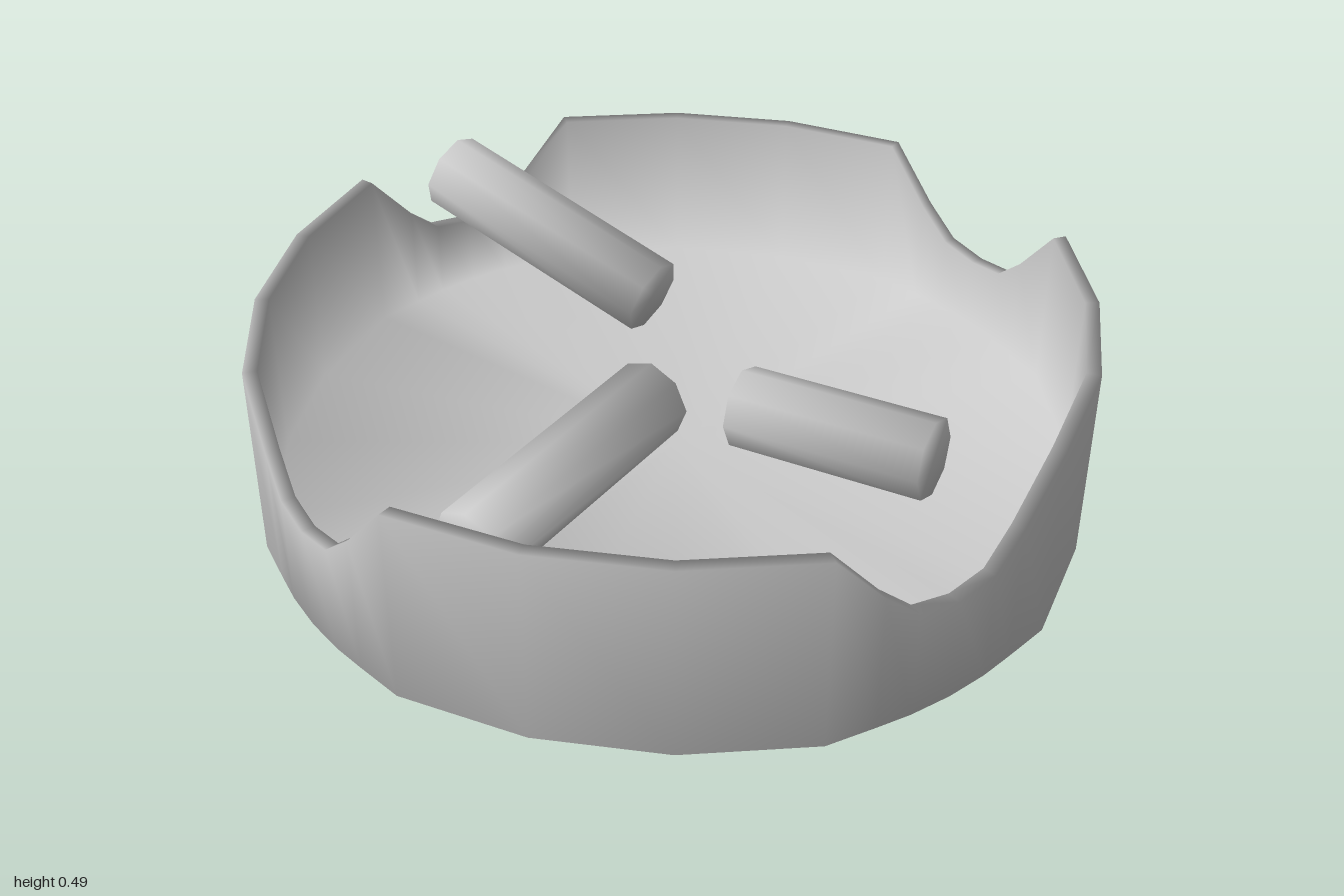
import * as THREE from 'three';
import { mergeVertices } from 'three/addons/utils/BufferGeometryUtils.js';

const material = new THREE.MeshStandardMaterial({ color: 0xcccccc });
const CENTER_X = 0.05;
const WALL = 0.032;
const FLOOR = 0.1;

// Angle (degrees), rim height and outer radius, for one quarter starting at a notch
const RIM = [
  [-11, 0.36, 0.95], [-6, 0.29, 0.95], [0, 0.275, 0.95], [6, 0.29, 0.95], [11, 0.36, 0.95],
  [18, 0.49, 0.96], [36, 0.49, 0.94], [54, 0.49, 0.94], [72, 0.49, 0.96],
];

// Cross-section from the underside's centre, over the rim, to the floor's centre
const section = (rim, r) => [
  [0, 0], [0.8, 0], [r, 0.025], [r, rim],
  [r - WALL, rim], [r - WALL, FLOOR], [0, FLOOR],
];

// Round tray whose cross-section follows the rim around the circle
function trayGeometry() {
  const positions = [], index = [];
  const n = section(0, 0).length, count = RIM.length * 4;
  for (let q = 0; q < 4; q++) {
    for (const [deg, rim, radius] of RIM) {
      const a = THREE.MathUtils.degToRad(deg + q * 90);
      for (const [r, y] of section(rim, radius)) positions.push(r * Math.sin(a), y, r * Math.cos(a));
    }
  }
  for (let i = 0; i < count; i++) {
    for (let j = 0; j < n - 1; j++) {
      const a = i * n + j, b = ((i + 1) % count) * n + j;
      // both ends of the section collapse to a point and need one triangle only
      if (j < n - 2) index.push(b + 1, a + 1, b);
      if (j > 0) index.push(a, b, a + 1);
    }
  }
  const g = new THREE.BufferGeometry();
  g.setAttribute('position', new THREE.Float32BufferAttribute(positions, 3));
  g.setIndex(index);
  const welded = mergeVertices(g, 1e-4);
  welded.computeVertexNormals();
  return welded;
}

// Eight-sided stub between two points, shaded smoothly over its ends
function stub(name, from, to) {
  const a = new THREE.Vector3(...from), b = new THREE.Vector3(...to);
  const radius = 0.097;
  const g = new THREE.CylinderGeometry(radius, radius, a.distanceTo(b), 8);
  const p = g.attributes.position, normal = new THREE.Vector3();
  for (let i = 0; i < p.count; i++) {
    normal.set(p.getX(i) / radius, Math.sign(p.getY(i)), p.getZ(i) / radius).normalize();
    g.attributes.normal.setXYZ(i, normal.x, normal.y, normal.z);
  }
  g.rotateX(Math.PI / 2);
  const mesh = new THREE.Mesh(g, material);
  mesh.position.copy(a).add(b).multiplyScalar(0.5);
  mesh.lookAt(b);
  mesh.name = name;
  return mesh;
}

export function createModel() {
  const group = new THREE.Group();
  group.name = 'ashtray';

  const tray = new THREE.Mesh(trayGeometry(), material);
  tray.name = 'tray';
  tray.position.x = CENTER_X;
  group.add(tray);

  // One stub leans in a notch, two lie inside
  group.add(
    stub('leaningStub', [-0.37, 0.21, -0.23], [-0.955, 0.385, -0.005]),
    stub('backStub', [0.125, 0.195, -0.135], [0.555, 0.21, -0.34]),
    stub('frontStub', [0.19, 0.175, 0.64], [0.0, 0.215, 0.03]),
  );
  return group;
}
